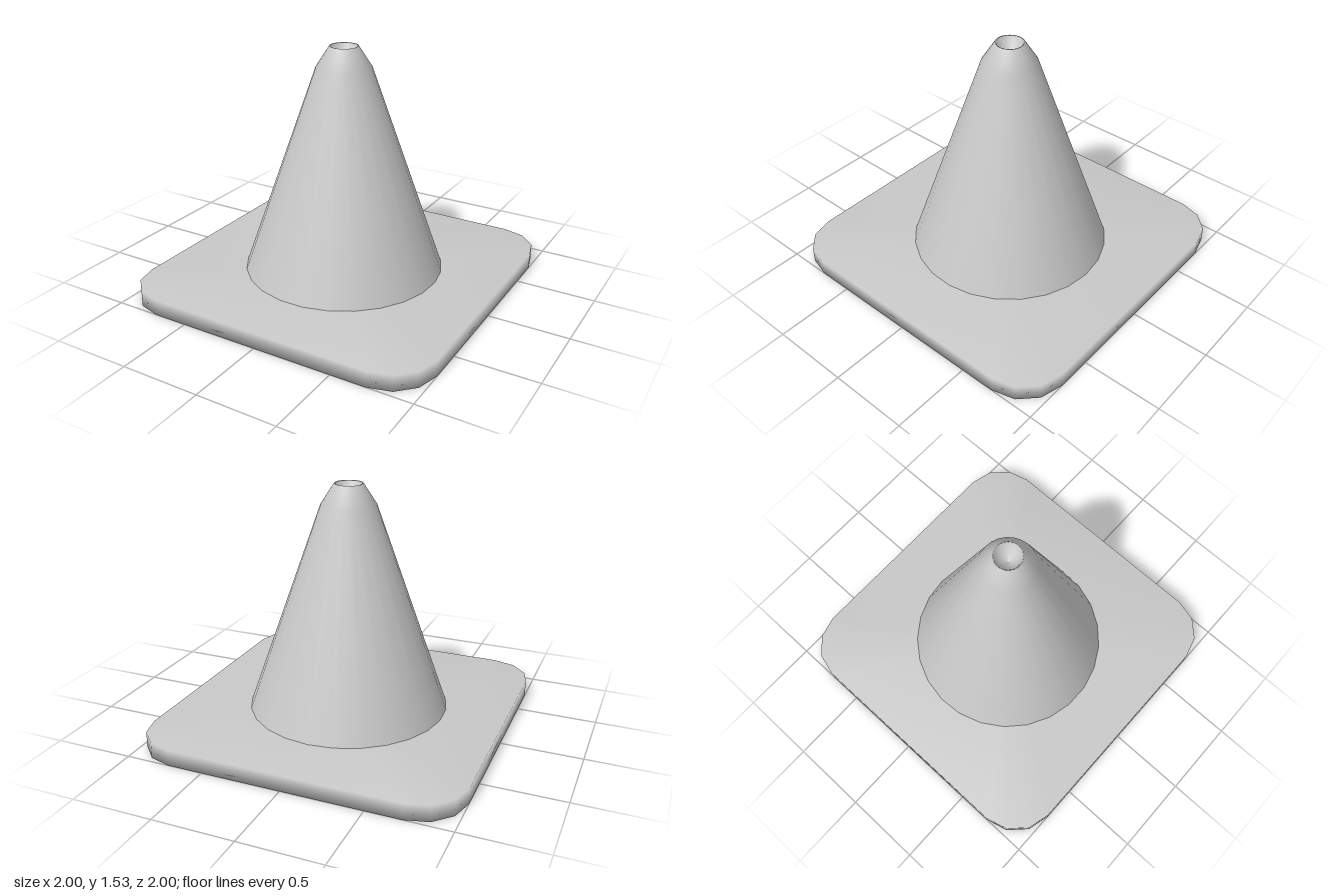
import * as THREE from 'three';

// Slab with an outline in x/z, sharing vertices so its edges shade softly
function softSlab(outline, height) {
  const n = outline.length;
  const positions = [];
  const indices = [];
  for (const y of [0, height]) {
    for (const [x, z] of outline) positions.push(x, y, z);
  }
  positions.push(0, 0, 0, 0, height, 0);
  const bottomCentre = 2 * n;
  const topCentre = 2 * n + 1;
  for (let i = 0; i < n; i++) {
    const j = (i + 1) % n;
    indices.push(i, n + i, j, j, n + i, n + j); // rim
    indices.push(topCentre, n + j, n + i); // top
    indices.push(bottomCentre, i, j); // underside
  }
  const geometry = new THREE.BufferGeometry();
  geometry.setAttribute('position', new THREE.Float32BufferAttribute(positions, 3));
  geometry.setIndex(indices);
  geometry.computeVertexNormals();
  return geometry;
}

export function createModel() {
  const group = new THREE.Group();
  group.name = 'trafficCone';
  const grey = new THREE.MeshStandardMaterial({ color: 0xc8c8c8 });
  grey.name = 'light grey';

  // Square base with corners rounded in three steps
  const corner = 0.28;
  const outline = [];
  for (let quarter = 0; quarter < 4; quarter++) {
    const start = (quarter * Math.PI) / 2;
    const cx = (1 - corner) * (quarter === 0 || quarter === 3 ? 1 : -1);
    const cz = (1 - corner) * (quarter < 2 ? 1 : -1);
    for (let step = 0; step < 4; step++) {
      const a = start + (step * Math.PI) / 6;
      outline.push([cx + corner * Math.cos(a), cz + corner * Math.sin(a)]);
    }
  }
  const base = new THREE.Mesh(softSlab(outline, 0.1), grey);
  base.name = 'base';
  group.add(base);

  // Tapered body with a narrowed tip and a shallow hollow in the top
  const profile = [
    [0.628, 0.1], [0.17, 1.4], [0.088, 1.527], [0.08, 1.525], [0.05, 1.46], [0, 1.44],
  ].map(([r, y]) => new THREE.Vector2(r, y));
  const body = new THREE.Mesh(new THREE.LatheGeometry(profile, 25, Math.PI), grey);
  body.name = 'coneBody';
  group.add(body);

  return group;
}
